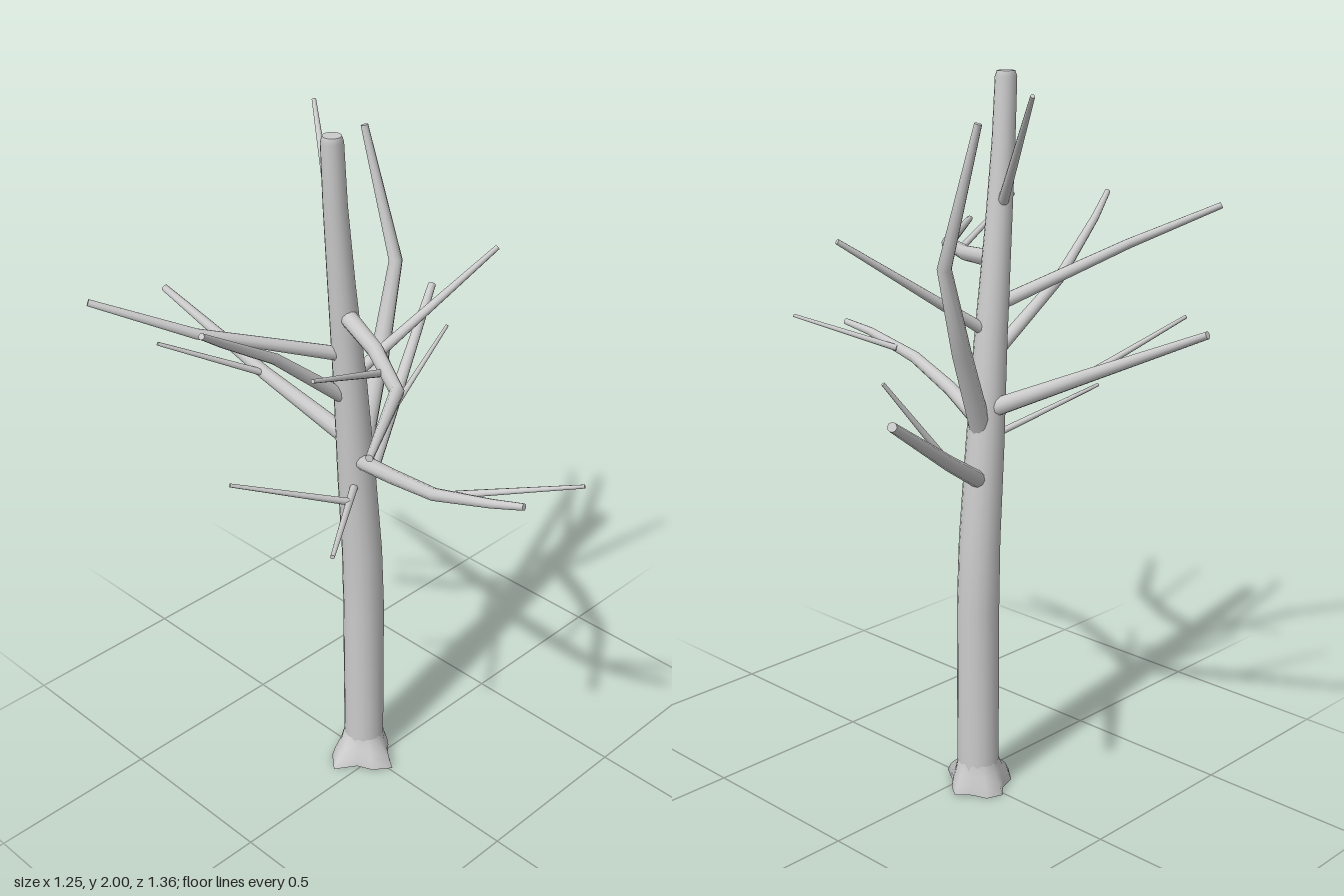
import * as THREE from 'three';

const material = new THREE.MeshStandardMaterial({ color: 0xcccccc });

// Closed, smooth skin over rings of points, with sharp flat caps at both ends
function skin(rings) {
  const pos = [], index = [], n = rings[0].length;
  rings.forEach(r => r.forEach(p => pos.push(p.x, p.y, p.z)));
  for (let i = 0; i < rings.length - 1; i++) {
    for (let j = 0; j < n; j++) {
      const k = (j + 1) % n;
      const a = i * n + j, b = i * n + k, c = a + n, d = b + n;
      index.push(a, b, c, b, d, c);
    }
  }
  const cap = (ring, flip) => {
    const start = pos.length / 3;
    const mid = ring.reduce((s, p) => s.add(p), new THREE.Vector3()).divideScalar(n);
    [mid, ...ring].forEach(p => pos.push(p.x, p.y, p.z));
    for (let j = 0; j < n; j++) {
      const a = start + 1 + j, b = start + 1 + (j + 1) % n;
      index.push(start, ...(flip ? [b, a] : [a, b]));
    }
  };
  cap(rings[0], true);
  cap(rings[rings.length - 1], false);
  const geo = new THREE.BufferGeometry();
  geo.setAttribute('position', new THREE.Float32BufferAttribute(pos, 3));
  geo.setIndex(index);
  geo.computeVertexNormals();
  return geo;
}

// Tapered limb along points [x, y, z, radius], mitred at each bend
function limb(path, sides) {
  const pts = path.map(p => new THREE.Vector3(p[0], p[1], p[2]));
  const last = pts.length - 1;
  const u = new THREE.Vector3(0.31, 0.05, 0.95);
  const rings = pts.map((p, i) => {
    const t = new THREE.Vector3();
    if (i > 0) t.add(p.clone().sub(pts[i - 1]).normalize());
    if (i < last) t.add(pts[i + 1].clone().sub(p).normalize());
    t.normalize();
    u.addScaledVector(t, -u.dot(t)).normalize();
    const v = t.clone().cross(u);
    return Array.from({ length: sides }, (_, j) => {
      const a = (j / sides) * Math.PI * 2;
      return p.clone()
        .addScaledVector(u, Math.cos(a) * path[i][3])
        .addScaledVector(v, Math.sin(a) * path[i][3]);
    });
  });
  return skin(rings);
}

// Flared foot whose lobes fade upward into the round trunk
function rootFlare() {
  const lobes = [0.094, 0.078, 0.075, 0.122, 0.098, 0.08, 0.128, 0.1, 0.075, 0.096, 0.09, 0.07];
  const levels = [[0, 1], [0.025, 0.8], [0.055, 0.3], [0.085, 0]];
  const rings = levels.map(([y, flare]) => lobes.map((r, j) => {
    const a = -(j / lobes.length) * Math.PI * 2;
    const radius = THREE.MathUtils.lerp(0.059, r, flare);
    return new THREE.Vector3(0.01 + Math.cos(a) * radius, y, -0.05 - Math.sin(a) * radius);
  }));
  // Angles run so that the rings turn counter-clockwise about +y
  return skin(rings.map(r => [...r].reverse()));
}

// Main boughs: points [x, y, z, radius]
const boughs = {
  backBough: [[-0.02, 1.11, -0.05, 0.026], [-0.085, 1.24, -0.33, 0.019], [-0.14, 1.4, -0.68, 0.01]],
  lowerLeftBough: [[0.01, 0.92, -0.055, 0.024], [0.24, 1.045, -0.17, 0.02], [0.615, 1.26, -0.36, 0.012]],
  upperLeftBough: [[0, 1.06, -0.05, 0.03], [0.12, 1.3, -0.095, 0.026], [0.222, 1.54, -0.135, 0.019], [0.198, 1.9, -0.228, 0.01]],
  frontLeftBough: [[-0.035, 1.32, -0.045, 0.017], [0.375, 1.6, 0.09, 0.007]],
  topBough: [[-0.08, 1.65, -0.045, 0.015], [0.112, 1.965, -0.325, 0.006]],
  backRightBough: [[-0.05, 1.39, -0.045, 0.02], [-0.42, 1.53, -0.2, 0.014], [-0.62, 1.63, -0.36, 0.009]],
  rightBough: [[-0.04, 1.25, -0.045, 0.02], [-0.26, 1.44, -0.09, 0.015], [-0.47, 1.58, -0.04, 0.011], [-0.555, 1.64, -0.012, 0.008]],
  frontRightBough: [[-0.06, 1.515, -0.045, 0.024], [-0.13, 1.5, 0.135, 0.021], [-0.235, 1.493, 0.31, 0.018], [-0.515, 1.51, 0.495, 0.009]],
  frontBough: [[-0.02, 1.06, -0.045, 0.022], [-0.085, 1.12, 0.15, 0.02], [-0.13, 1.17, 0.34, 0.017], [-0.12, 1.22, 0.52, 0.012], [-0.1, 1.24, 0.605, 0.009]],
  lowerRightBough: [[-0.02, 0.995, -0.045, 0.012], [-0.33, 1, 0.18, 0.006]],
};

// Thin twigs growing from the boughs
const twigs = [
  [[-0.085, 1.24, -0.33, 0.01], [-0.345, 1.38, -0.46, 0.005]],
  [[0.24, 1.045, -0.168, 0.01], [0.42, 1.28, -0.12, 0.005]],
  [[-0.2, 1.495, 0.22, 0.01], [-0.485, 1.61, 0.287, 0.005]],
  [[-0.115, 1.19, 0.4, 0.01], [0.038, 1.268, 0.677, 0.005]],
  [[-0.12, 1.0, 0.025, 0.01], [-0.41, 1.12, -0.115, 0.005]],
];

// Trunk leaning toward -x as it rises
const trunk = [
  [0.01, 0.06, -0.05, 0.059], [0.011, 0.55, -0.05, 0.059], [0.005, 0.75, -0.05, 0.057],
  [-0.015, 1.0, -0.049, 0.053], [-0.04, 1.3, -0.046, 0.045], [-0.072, 1.6, -0.042, 0.036],
  [-0.094, 1.82, -0.038, 0.031], [-0.103, 1.985, -0.037, 0.029], [-0.103, 2, -0.037, 0.024],
];

export function createModel() {
  const tree = new THREE.Group();
  tree.name = 'bareTree';
  const add = (name, geometry) => {
    const mesh = new THREE.Mesh(geometry, material);
    mesh.name = name;
    tree.add(mesh);
  };
  add('rootFlare', rootFlare());
  add('trunk', limb(trunk, 16));
  for (const [name, path] of Object.entries(boughs)) add(name, limb(path, 10));
  twigs.forEach((path, i) => add(`twig${i + 1}`, limb(path, 8)));
  return tree;
}
